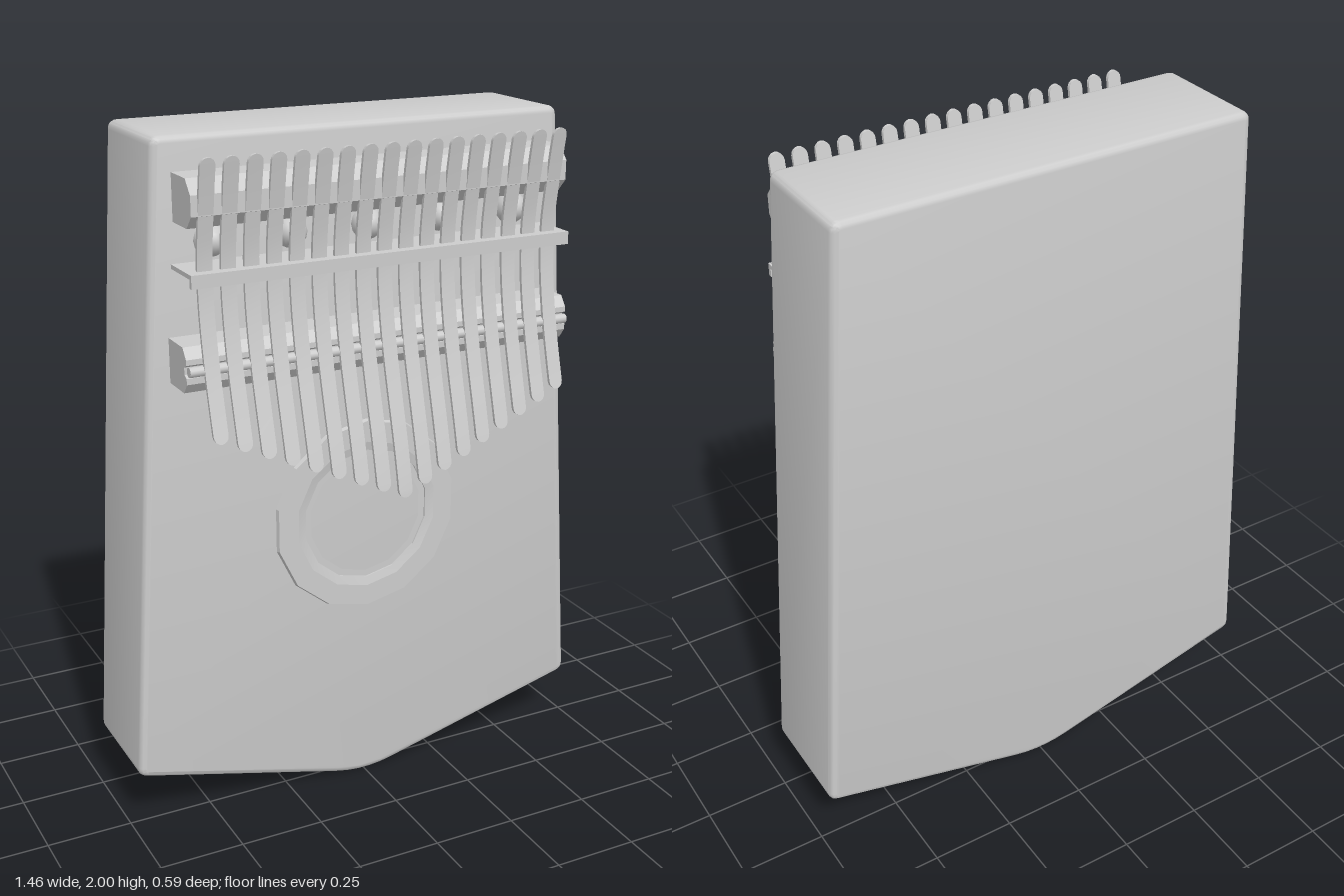
import * as THREE from 'three';
import { toCreasedNormals } from 'three/addons/utils/BufferGeometryUtils.js';

const FRONT = 0.048, BACK = -0.293;
const material = new THREE.MeshStandardMaterial({ color: 0xcccccc });

function add(parent, name, geometry, x = 0, y = 0, z = 0) {
  const mesh = new THREE.Mesh(geometry, material);
  mesh.name = name;
  mesh.position.set(x, y, z);
  parent.add(mesh);
  return mesh;
}

// Closed outline with each corner [x, y, cut] rounded over the length cut
function roundedOutline(corners) {
  const shape = new THREE.Shape();
  corners.forEach(([x, y, cut], i) => {
    const p = new THREE.Vector2(x, y);
    const toward = ([a, b]) => new THREE.Vector2(a, b).sub(p).setLength(cut).add(p);
    const start = toward(corners.at(i - 1));
    const end = toward(corners[(i + 1) % corners.length]);
    if (i === 0) shape.moveTo(start.x, start.y);
    else shape.lineTo(start.x, start.y);
    shape.quadraticCurveTo(x, y, end.x, end.y);
  });
  shape.closePath();
  return shape;
}

// Bar along x from a [z, y] cross-section
function barGeometry(section, length) {
  const shape = new THREE.Shape(section.map(([z, y]) => new THREE.Vector2(z, y)));
  return new THREE.ExtrudeGeometry(shape, { depth: length, bevelEnabled: false })
    .translate(0, 0, -length / 2)
    .rotateY(-Math.PI / 2);
}

// Side profile shared by all the tines, as [y, z] from the tip up
const tineCurve = new THREE.SplineCurve([
  [1.0, 0.288], [1.1, 0.268], [1.2, 0.242], [1.3, 0.214], [1.4, 0.188], [1.5, 0.168],
  [1.6, 0.156], [1.7, 0.156], [1.8, 0.17], [1.9, 0.188], [2.0, 0.206],
].map(([y, z]) => new THREE.Vector2(y, z)));

// Thin strip with round ends, bent along the shared profile
function tineGeometry(bottom, top) {
  const r = 0.021, arc = 4, middle = 18;
  const rows = [];
  for (let i = 0; i <= arc; i++) {
    const a = (i / arc) * Math.PI / 2;
    rows.push([bottom + r * (1 - Math.cos(a)), Math.max(0.05, Math.sin(a))]);
  }
  for (let i = 1; i < middle; i++) {
    rows.push([THREE.MathUtils.lerp(bottom + r, top - r, i / middle), 1]);
  }
  for (let i = arc; i >= 0; i--) {
    const a = (i / arc) * Math.PI / 2;
    rows.push([top - r * (1 - Math.cos(a)), Math.max(0.05, Math.sin(a))]);
  }
  const n = rows.length - 1;
  const geometry = new THREE.BoxGeometry(2 * r, 1, 0.01, 1, n, 1);
  const pos = geometry.attributes.position;
  for (let i = 0; i < pos.count; i++) {
    const [y, width] = rows[Math.round((pos.getY(i) + 0.5) * n)];
    const z = tineCurve.getPoint(y - 1).y;
    pos.setXYZ(i, pos.getX(i) * width, y, pos.getZ(i) + z);
  }
  return toCreasedNormals(geometry, 0.7);
}

export function createModel() {
  const model = new THREE.Group();
  model.name = 'thumbPiano';

  // Wooden body with softened edges and a pointed foot
  const bevel = 0.018;
  const outline = roundedOutline([
    [-0.61, 2, 0.025], [-0.73, 0.178, 0.025], [0, -0.008, 0.1],
    [0.73, 0.178, 0.025], [0.61, 2, 0.025],
  ]);
  const body = new THREE.ExtrudeGeometry(outline, {
    depth: FRONT - BACK - 2 * bevel, curveSegments: 5,
    bevelThickness: bevel, bevelSize: bevel, bevelOffset: -bevel, bevelSegments: 3,
  });
  add(model, 'body', toCreasedNormals(body, 0.6), 0, 0, BACK + bevel);

  // Faceted ring around the sound hole
  const ring = new THREE.LatheGeometry([
    [0.18, 0.001], [0.2, 0.001], [0.2, 0.006], [0.226, 0.012], [0.289, 0.012], [0.293, 0],
  ].reverse().map(([r, h]) => new THREE.Vector2(r, h)), 14);
  ring.rotateX(Math.PI / 2);
  const soundRing = add(model, 'soundHoleRing', toCreasedNormals(ring, 0.2), 0, 0.865, FRONT);
  soundRing.material = material.clone();
  soundRing.material.side = THREE.DoubleSide;

  // Upper support bar
  add(model, 'upperBar', barGeometry([
    [FRONT, 1.78], [0.145, 1.78], [0.178, 1.815], [0.178, 1.87], [0.145, 1.908], [FRONT, 1.908],
  ], 1.12));

  // Lower bridge, grooved to hold the rod
  add(model, 'bridge', barGeometry([
    [FRONT, 1.35], [0.148, 1.35], [0.17, 1.378], [0.17, 1.395], [0.155, 1.402],
    [0.155, 1.422], [0.17, 1.43], [0.17, 1.445], [0.148, 1.474], [FRONT, 1.474],
  ], 1.17));
  const rod = new THREE.CylinderGeometry(0.014, 0.014, 1.16, 12).rotateZ(Math.PI / 2);
  add(model, 'bridgeRod', rod, 0, 1.412, 0.174);

  // Clamp: thin shelf with a lip turned down over the tines
  add(model, 'clamp', barGeometry([
    [FRONT, 1.658], [0.178, 1.658], [0.178, 1.634], [0.19, 1.634], [0.19, 1.67], [FRONT, 1.67],
  ], 1.14));

  // Round-headed screws
  for (let i = -2; i <= 2; i++) {
    const head = new THREE.SphereGeometry(0.046, 14, 6, 0, Math.PI * 2, 0, Math.PI / 2);
    head.rotateX(Math.PI / 2);
    add(model, 'screw', head, i * 0.23, 1.725, FRONT).scale.z = 1.2;
  }

  // Seventeen tines, longest in the middle
  const tines = new THREE.Group();
  tines.name = 'tines';
  model.add(tines);
  for (let i = -8; i <= 8; i++) {
    add(tines, 'tine', tineGeometry(1.002 + 0.028 * Math.abs(i), 1.965), i * 0.065);
  }
  return model;
}
